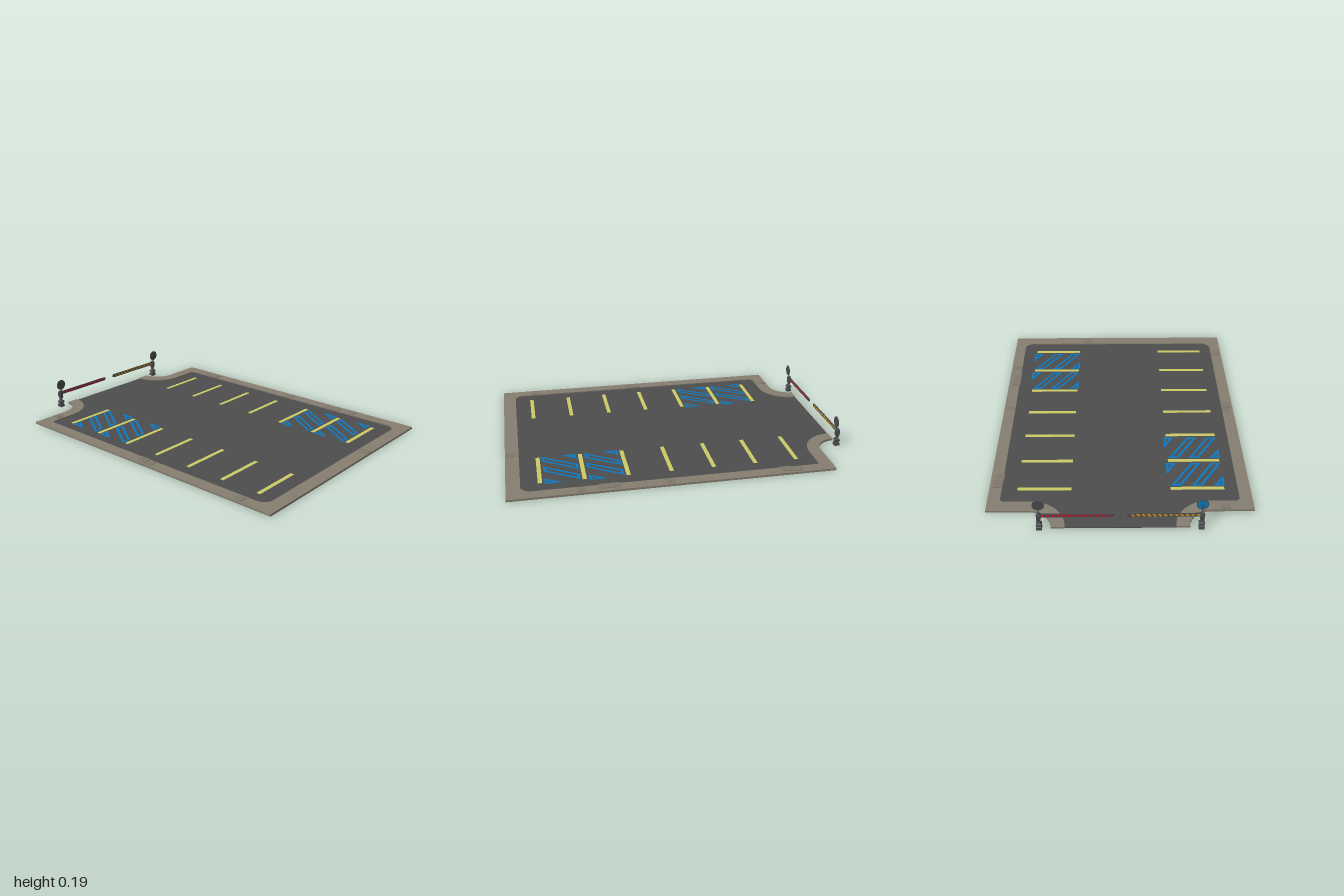
import * as THREE from 'three';

const mat = (name, color) => Object.assign(new THREE.MeshStandardMaterial({ color }), { name });
const M = {
  asphalt: mat('asphalt grey', 0x4d4d4d),
  curb: mat('curb stone', 0x857d70),
  patch: mat('worn stone', 0x7f776b),
  yellow: mat('line yellow', 0xcbca66),
  blue: mat('marking blue', 0x0b78c0),
  metal: mat('gate grey', 0x4b4c4f),
  red: mat('stripe red', 0xd0182c),
  gold: mat('stripe gold', 0xc8921a),
};

function add(parent, geo, material, name, x = 0, y = 0, z = 0) {
  const m = new THREE.Mesh(geo, material);
  m.name = name;
  m.position.set(x, y, z);
  parent.add(m);
  return m;
}

// Flat slab from a plan shape drawn in (x, -z)
function slab(shape, depth) {
  const g = new THREE.ExtrudeGeometry(shape, { depth, bevelEnabled: false, curveSegments: 12 });
  return g.rotateX(-Math.PI / 2);
}

// Inner edge of the curb, from the front side of the entrance round to the back side
function innerEdge(s) {
  const r = 0.06;
  s.absarc(-0.985, 0.5, 0.2, -Math.PI / 2, 0, false);
  s.lineTo(-0.785, 0.655);
  s.lineTo(-0.77, 0.67);
  s.lineTo(0.92 - r, 0.67);
  s.absarc(0.92 - r, 0.67 - r, r, Math.PI / 2, 0, true);
  s.lineTo(0.92, -0.67 + r);
  s.absarc(0.92 - r, -0.67 + r, r, 0, -Math.PI / 2, true);
  s.lineTo(-0.77, -0.67);
  s.lineTo(-0.785, -0.655);
  s.absarc(-0.985, -0.5, 0.2, 0, Math.PI / 2, false);
}

// Outline of a convex counter-clockwise polygon, w wide
function outline(points, w) {
  const p = points.map(([x, y]) => new THREE.Vector2(x, y));
  const n = p.length;
  const inner = p.map((c, i) => {
    const a = c.clone().sub(p[(i + n - 1) % n]).normalize();
    const b = p[(i + 1) % n].clone().sub(c).normalize();
    const k = w / a.cross(b);
    return c.clone().addScaledVector(b, k).addScaledVector(a, -k);
  });
  const s = new THREE.Shape(p);
  s.holes.push(new THREE.Path(inner.reverse()));
  return s;
}

// Hatched bay: two slanted bars and two corner triangles
function hatching(parent, x, zc) {
  const g = new THREE.Group();
  g.name = 'hatchedBay';
  g.position.set(x, 0.0062, zc);
  const w = 0.1, h = 0.163, drop = 0.128, t = 0.06, lw = 0.014;
  const shapes = [
    [[-w, -h], [-w + 0.085, -h], [-w, -h + 0.062]],
    [[w, h], [w - 0.1, h], [w, h - 0.062]],
  ];
  for (const top of [0.145, 0.025]) {
    shapes.push([[-w, top - t], [w, top - t - drop], [w, top - drop], [-w, top]]);
  }
  for (const s of shapes) add(g, slab(outline(s, lw), 0.0012), M.blue, 'hatchOutline');
  parent.add(g);
}

// Barrier gate: local +x runs along the arm, red on +z and gold on -z
function gate(side) {
  const g = new THREE.Group();
  g.name = side > 0 ? 'frontGate' : 'backGate';
  g.position.set(-0.984, 0, side * 0.435);
  g.rotation.y = side * Math.PI / 2;

  // Square turned post
  const profile = [[0, 0], [0.016, 0], [0.016, 0.018], [0.012, 0.022], [0.012, 0.028], [0.016, 0.032],
    [0.016, 0.038], [0.007, 0.05], [0.007, 0.06], [0.012, 0.068], [0.012, 0.098], [0.006, 0.112], [0, 0.112]];
  const post = new THREE.LatheGeometry(profile.map(([r, y]) => new THREE.Vector2(r * 1.3, y)), 4)
    .rotateY(Math.PI / 4).scale(0.78 * 1.35, 1, 0.78 * 1.35).toNonIndexed();
  post.computeVertexNormals();
  add(g, post, M.metal, 'post');

  // Arm with rounded ends
  const r = 0.011, y = 0.094, end = 0.4, t = 0.005;
  const s = new THREE.Shape();
  s.absarc(end - r, y, r, -Math.PI / 2, Math.PI / 2, false);
  s.absarc(-0.004, y, r, Math.PI / 2, Math.PI * 1.5, false);
  const arm = new THREE.ExtrudeGeometry(s, { depth: t, bevelEnabled: false, curveSegments: 6 });
  add(g, arm, M.metal, 'arm', 0, 0, -t / 2);

  // Slanted stripes on both faces
  const count = 13, pitch = 0.029, h = 0.0075;
  for (let i = 0; i < count; i++) {
    const x = 0.014 + i * pitch;
    const stripe = new THREE.Shape([[0, -h], [0.016, -h], [0.026, h], [0.01, h]].map(([a, b]) => new THREE.Vector2(x + a - 0.006, y + b)));
    const geo = new THREE.ExtrudeGeometry(stripe, { depth: 0.0008, bevelEnabled: false });
    add(g, geo, M.red, 'redStripe', 0, 0, t / 2);
    add(g, geo, M.gold, 'goldStripe', 0, 0, -t / 2 - 0.0008);
  }

  // Round sign on a thin pole, facing away from the lot
  const z = side * 0.012;
  add(g, new THREE.BoxGeometry(0.006, 0.07, 0.004), M.metal, 'signPole', 0, 0.125, z - side * 0.004);
  add(g, new THREE.CylinderGeometry(0.033, 0.033, 0.004, 28).rotateX(Math.PI / 2), M.metal, 'signDisc', 0, 0.155, z);
  if (side > 0) {
    add(g, new THREE.CylinderGeometry(0.029, 0.029, 0.001, 28).rotateX(Math.PI / 2), M.blue, 'signFace', 0, 0.155, z - 0.0024);
  }
  return g;
}

export function createModel() {
  const root = new THREE.Group();
  root.name = 'parkingLot';

  // Asphalt surface
  const ground = new THREE.Shape();
  innerEdge(ground);
  add(root, slab(ground, 0.005), M.asphalt, 'asphalt', 0, 0.001, 0);

  // Curb frame, open at the entrance
  const frame = new THREE.Shape();
  frame.absarc(-0.985, -0.5, 0.125, Math.PI / 2, 0, true);
  for (const [x, y] of [[-0.86, -0.741], [1, -0.741], [1, 0.741], [-0.86, 0.741]]) frame.lineTo(x, y);
  frame.absarc(-0.985, 0.5, 0.125, 0, -Math.PI / 2, true);
  innerEdge(frame);
  add(root, slab(frame, 0.012), M.curb, 'curb');

  // Slightly raised worn stones on the curb
  const stones = [[-0.64, -0.7, 0.06], [-0.58, -0.69, 0.06], [0.1, -0.7, 0.05], [0.41, -0.69, 0.06], [0.47, -0.69, 0.06],
    [0.59, -0.7, 0.05], [0.965, -0.22, 0.055], [-0.83, 0.585, 0.05], [0.07, 0.695, 0.06], [0.13, 0.705, 0.05], [0.78, 0.705, 0.05]];
  for (const [x, z, w] of stones) {
    add(root, new THREE.BoxGeometry(w, 0.004, 0.05), M.patch, 'wornStone', x, 0.0125, z);
  }

  // Bay lines and hatched bays in both rows
  const first = -0.676, pitch = 0.248;
  for (const [z, bays] of [[-0.428, [4, 5]], [0.441, [0, 1]]]) {
    for (let i = 0; i < 7; i++) {
      add(root, new THREE.BoxGeometry(0.024, 0.0014, 0.306), M.yellow, 'bayLine', first + i * pitch, 0.0068, z);
    }
    for (const b of bays) hatching(root, first + (b + 0.5) * pitch - 0.002, z - 0.004);
  }

  root.add(gate(1), gate(-1));
  return root;
}
